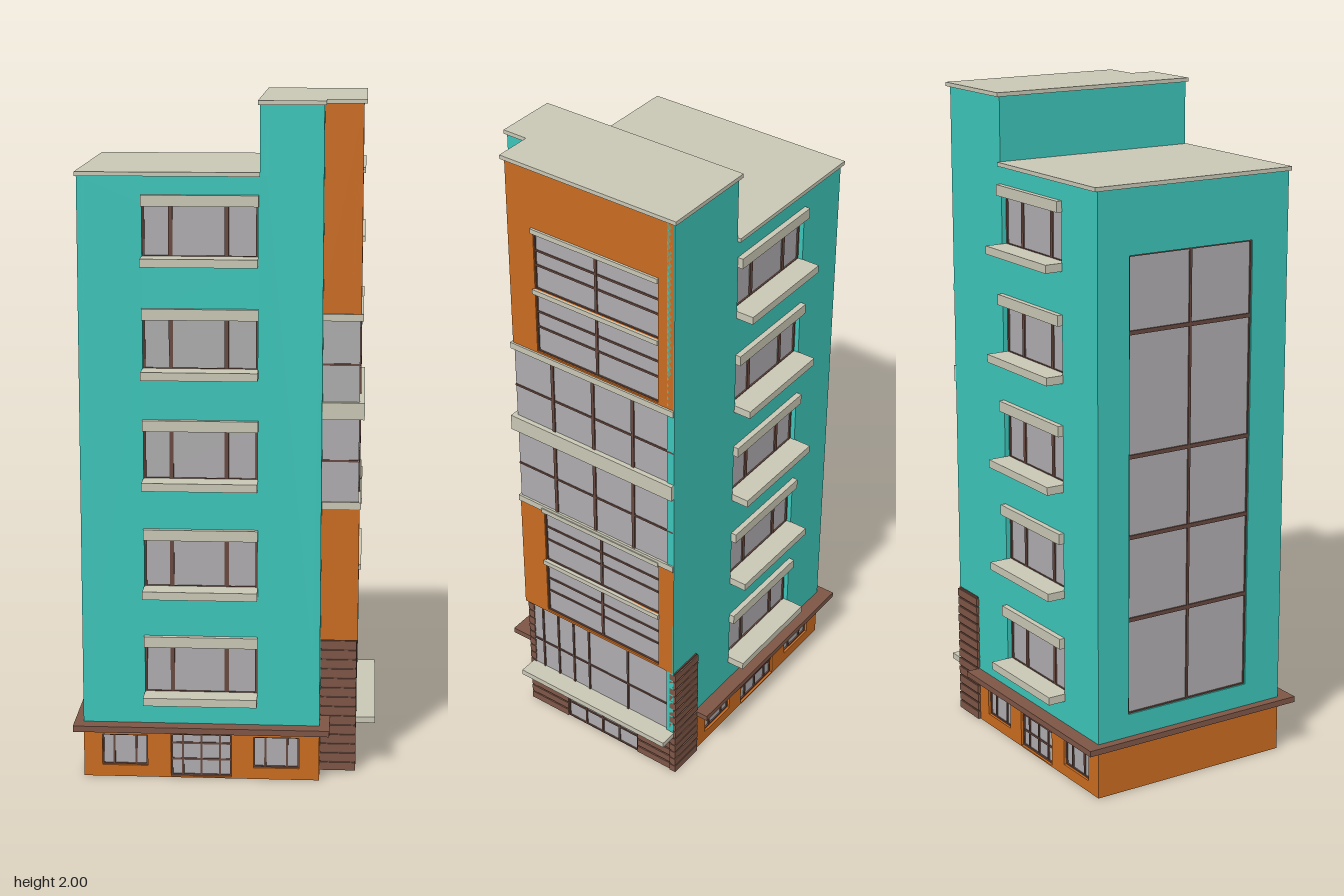
import * as THREE from 'three';

const mat = (name, color) => {
  const m = new THREE.MeshStandardMaterial({ color });
  m.name = name;
  return m;
};

export function createModel() {
  const root = new THREE.Group();
  root.name = 'apartmentBuilding';
  const teal = mat('teal render', 0x3cc4b8);
  const orange = mat('orange render', 0xc96b20);
  const brown = mat('brown brick', 0x7d5646);
  const frame = mat('dark brown frame', 0x67483f);
  const stone = mat('beige stone', 0xc8c6b4);
  const glass = mat('grey glass', 0xadabad);

  const box = (name, m, x0, x1, y0, y1, z0, z1) => {
    const mesh = new THREE.Mesh(new THREE.BoxGeometry(x1 - x0, y1 - y0, z1 - z0), m);
    mesh.position.set((x0 + x1) / 2, (y0 + y1) / 2, (z0 + z1) / 2);
    mesh.name = name;
    root.add(mesh);
  };

  // Thin plate facing along an axis; u runs along the other horizontal axis
  const plate = (name, m, axis, at, t, u0, u1, y0, y1) => {
    if (axis === 'z') box(name, m, u0, u1, y0, y1, at - t / 2, at + t / 2);
    else box(name, m, at - t / 2, at + t / 2, y0, y1, u0, u1);
  };

  // Wall with rectangular openings, filling at..at+t along its axis
  const wall = (name, m, axis, at, t, pts, holes = []) => {
    const s = axis === 'z' ? 1 : -1;
    const shape = new THREE.Shape(pts.map(([u, y]) => new THREE.Vector2(u * s, y)));
    for (const [u0, u1, y0, y1] of holes) {
      shape.holes.push(new THREE.Path([[u0, y0], [u0, y1], [u1, y1], [u1, y0]]
        .map(([u, y]) => new THREE.Vector2(u * s, y))));
    }
    const geo = new THREE.ExtrudeGeometry(shape, { depth: t, bevelEnabled: false });
    if (axis === 'x') geo.rotateY(Math.PI / 2).translate(at, 0, 0);
    else geo.translate(0, 0, at);
    const mesh = new THREE.Mesh(geo, m);
    mesh.name = name;
    root.add(mesh);
  };
  const rect = (u0, u1, y0, y1) => [[u0, y0], [u1, y0], [u1, y1], [u0, y1]];

  // Glass pane with vertical and horizontal bars, optionally framed
  const glazing = (name, axis, at, [u0, u1, y0, y1], vs, hs, w = 0.008, edge = 0) => {
    plate(name + 'Glass', glass, axis, at, 0.006, u0, u1, y0, y1);
    for (const v of vs) plate(name + 'Mullion', frame, axis, at, 0.014, v - w / 2, v + w / 2, y0, y1);
    for (const h of hs) plate(name + 'Transom', frame, axis, at, 0.012, u0, u1, h - 0.003, h + 0.003);
    if (edge) {
      for (const y of [y0, y1 - edge]) plate(name + 'Frame', frame, axis, at, 0.015, u0, u1, y, y + edge);
      for (const u of [u0, u1 - edge]) plate(name + 'Frame', frame, axis, at, 0.015, u, u + edge, y0, y1);
    }
  };

  const T = 0.025, Z = 0.325, LEFT = -0.42, MID = 0.28, RIGHT = 0.39, SIDE = 0.245;
  const floors = [0, 1, 2, 3, 4].map(i => 0.24 + i * 0.324);
  const openings = floors.map(y => [-0.235, 0.095, y + 0.02, y + 0.175]);

  // Front and back tower walls with the stepped top
  const profile = right => [[LEFT, 0.16], [right, 0.16], [right, 1.99], [0.1, 1.99], [0.1, 1.79], [LEFT, 1.79]];
  wall('frontWall', teal, 'z', Z - T, T, profile(MID), openings);
  wall('backWall', teal, 'z', -Z, T, profile(RIGHT), openings);

  // Left wall with one tall stairwell window
  const tall = [-0.22, 0.2, 0.24, 1.6];
  wall('leftWall', teal, 'x', LEFT, T, rect(-Z, Z, 0.16, 1.79), [tall]);
  glazing('stairWindow', 'x', LEFT + 0.012, tall, [-0.01], [], 0.008, 0.004);
  for (const y of [1.38, 1.02, 0.78, 0.53])
    plate('stairTransom', frame, 'x', LEFT + 0.012, 0.016, -0.22, 0.2, y - 0.006, y + 0.006);
  wall('towerReturn', teal, 'x', MID - T, T, rect(SIDE - 0.02, Z, 0.16, 1.99));
  wall('upperStepWall', teal, 'x', 0.1, T, rect(-Z, Z, 1.79, 1.99));

  // Apartment windows, sills, lintels and street level on both long faces
  const street = [[-0.365, -0.23, 0.035, 0.13], [0.085, 0.22, 0.035, 0.13]];
  const door = [-0.16, 0.02, 0.004, 0.135];
  for (const s of [1, -1]) {
    const zBox = (name, m, x0, x1, y0, y1, a, b) =>
      box(name, m, x0, x1, y0, y1, Math.min(a * s, b * s), Math.max(a * s, b * s));
    floors.forEach((y, i) => {
      glazing('apartmentWindow', 'z', s * 0.303, openings[i], [-0.155, 0.005], [], 0.012, 0.006);
      zBox('windowSill', stone, -0.237, 0.097, y, y + 0.024, 0.3, 0.38);
      zBox('windowLintel', stone, -0.237, 0.097, y + 0.168, y + 0.2, 0.3, 0.342);
    });
    wall('streetWall', orange, 'z', s > 0 ? Z - T : -Z, T, rect(LEFT, MID, 0, 0.16), [...street, door]);
    for (const o of street)
      glazing('shopWindow', 'z', s * 0.31, o, [o[0] + 0.035, o[1] - 0.035], [], 0.006, 0.004);
    glazing('entranceDoor', 'z', s * 0.31, door, [-0.125, -0.07, -0.015], [0.055, 0.105], 0.006, 0.005);
  }
  wall('streetLeftWall', orange, 'x', LEFT, T, rect(-Z, Z, 0, 0.16));
  const small = [0.252, 0.308, 0.035, 0.13];
  wall('streetReturn', orange, 'x', MID - T, T, rect(0.225, Z, 0, 0.16), [small]);
  glazing('sideShopWindow', 'x', MID - 0.014, small, [], [], 0.006, 0.004);

  // Brown ledge above the street level
  box('ledge', brown, -0.447, 0.31, 0.152, 0.17, Z - 0.01, 0.37);
  box('ledge', brown, -0.447, 0.275, 0.152, 0.17, -0.37, -Z + 0.01);
  box('ledge', brown, -0.447, LEFT + 0.01, 0.152, 0.17, -Z + 0.01, Z - 0.01);
  box('ledge', brown, MID - 0.01, 0.31, 0.152, 0.17, 0.23, Z - 0.01);

  // Brick facing built as grooved courses
  const brick = (axis, at, u0, u1, top, rows) => {
    plate('brickBacking', frame, axis, at, 0.014, u0 + 0.002, u1 - 0.002, 0, top);
    const h = top / rows;
    for (let i = 0; i < rows; i++)
      plate('brickCourse', brown, axis, at, 0.022, u0, u1, i * h, (i + 1) * h - 0.005);
  };
  brick('z', 0.226, MID, 0.387, 0.41, 14);
  brick('z', -0.322, 0.272, 0.39, 0.41, 14);
  brick('x', 0.376, 0.09, 0.23, 0.145, 5);
  brick('x', 0.376, -0.325, -0.185, 0.145, 5);

  // Side entrance, canopy and glazed mezzanine
  glazing('sideEntrance', 'x', 0.376, [-0.185, 0.09, 0, 0.145], [-0.11, -0.045, 0.02], [0.06], 0.006, 0.004);
  box('canopy', stone, 0.37, 0.445, 0.148, 0.166, -0.327, 0.226);
  glazing('mezzanine', 'x', 0.381, [-0.318, 0.225, 0.166, 0.41],
    [0.18, 0.12, 0.06, 0, -0.15], [0.27], 0.006);

  // Orange side bay: two sections with paired windows
  for (const [y0, y1, wins] of [
    [0.41, 0.815, [[0.418, 0.605], [0.62, 0.808]]],
    [1.38, 1.99, [[1.393, 1.588], [1.603, 1.785]]]]) {
    const holes = wins.map(([a, b]) => [-0.27, 0.155, a, b]);
    wall('bayWall', orange, 'x', RIGHT - T, T, rect(-Z + 0.003, SIDE, y0, y1), holes);
    wall('bayFront', orange, 'z', SIDE - T, T, rect(MID - 0.01, RIGHT - 0.001, y0, y1));
    for (const h of holes) {
      const d = h[3] - h[2];
      glazing('bayWindow', 'x', RIGHT - 0.012, h, [-0.055], [h[2] + d * 0.42, h[2] + d * 0.68], 0.008, 0.003);
      box('bayWindowHead', stone, 0.375, 0.397, h[3], h[3] + 0.015, -0.272, 0.16);
    }
  }

  // Two wraparound glazed storeys between stone bands
  for (const [y0, y1, h] of [[0.83, 1.08, 0.955], [1.13, 1.37, 1.24]]) {
    glazing('bandWindow', 'x', RIGHT - 0.006, [-0.322, SIDE - 0.002, y0, y1], [0.105, -0.04, -0.18], [h], 0.01);
    glazing('bandReturn', 'z', SIDE - 0.006, [MID - 0.01, RIGHT - 0.004, y0, y1], [], [h]);
  }
  for (const [y0, y1, e] of [[0.812, 0.832, 0.004], [1.08, 1.13, 0.012], [1.368, 1.388, 0.006]])
    box('stoneBand', stone, MID - 0.005, RIGHT + e, y0, y1, -0.324, SIDE + e);

  // Roof slabs
  box('lowerRoof', stone, -0.425, 0.1, 1.788, 1.8, -0.335, 0.332);
  box('upperRoof', stone, 0.094, 0.286, 1.988, 2, -0.335, 0.332);
  box('upperRoof', stone, 0.286, 0.4, 1.988, 2, -0.335, 0.253);

  return root;
}
